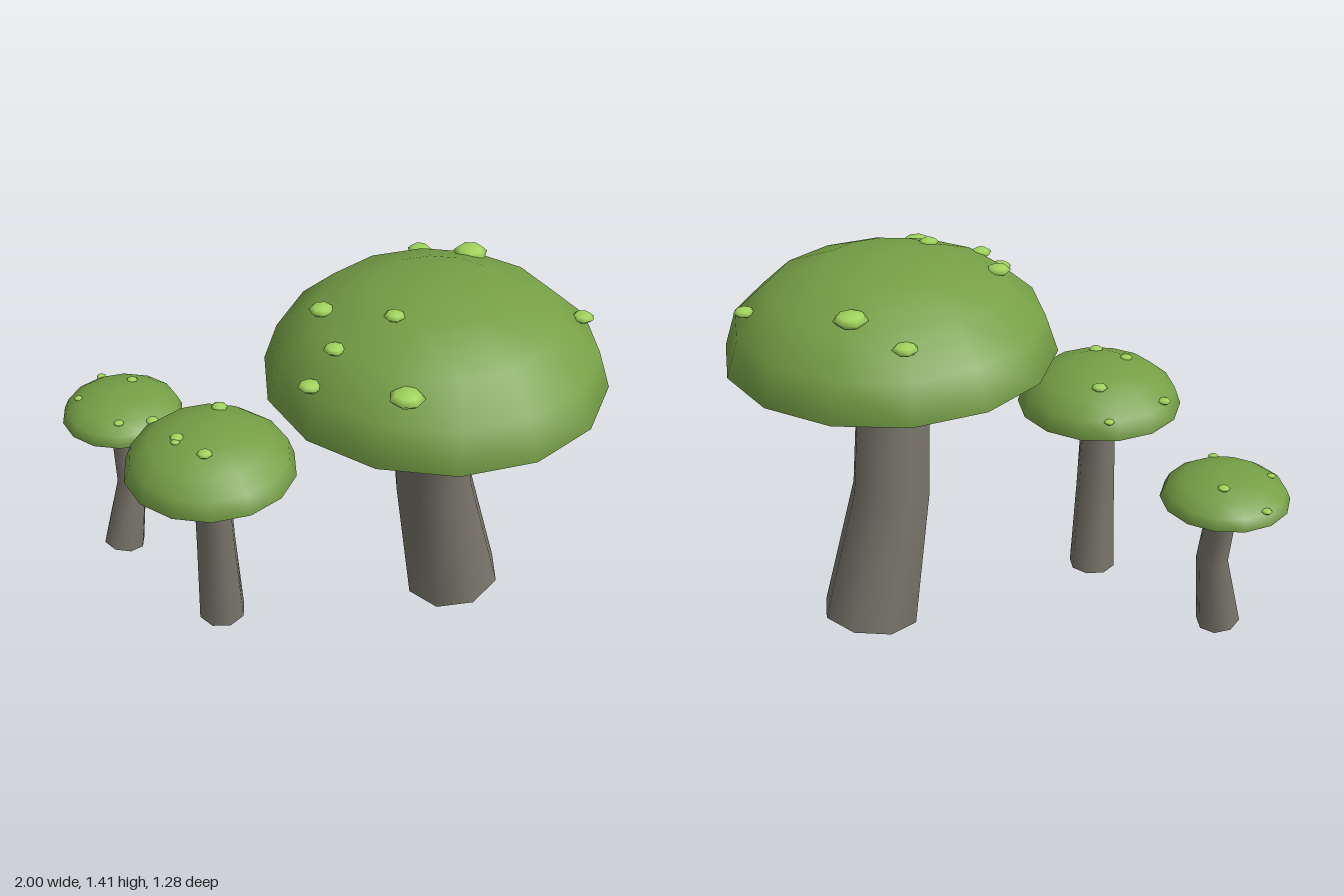
import * as THREE from 'three';
import { toCreasedNormals } from 'three/addons/utils/BufferGeometryUtils.js';

const SIDES = 14;

// Each stem ring, top to bottom: [x, y, z, radius, slope along x, slope along z]
// Each spot: [x, z, radius]
const MUSHROOMS = [
  {
    name: 'largeMushroom', cap: { x: 0.425, y: 1.068, z: -0.055, r: 0.587, h: 0.35 },
    stem: [[0.417, 1.06, -0.052, 0.134, 0, -0.14], [0.413, 0.55, -0.155, 0.145, 0.06, -0.15], [0.49, 0.037, -0.231, 0.179, 0.11, -0.15]],
    spots: [[0.225, -0.47, 0.044], [0.425, -0.42, 0.06], [0.865, -0.285, 0.038], [0.08, 0.115, 0.044],
      [0.345, 0.155, 0.036], [0.195, 0.295, 0.038], [0.15, 0.395, 0.04], [0.48, 0.415, 0.058]],
  },
  {
    name: 'mediumMushroom', cap: { x: -0.247, y: 0.744, z: 0.334, r: 0.304, h: 0.17 },
    stem: [[-0.247, 0.75, 0.337, 0.063, 0, -0.05], [-0.247, 0.4, 0.318, 0.073, 0, -0.05], [-0.247, 0.04, 0.295, 0.088, 0, -0.06]],
    spots: [[-0.34, 0.07, 0.02], [-0.28, 0.175, 0.03], [-0.505, 0.255, 0.025],
      [-0.33, 0.41, 0.025], [-0.325, 0.432, 0.018], [-0.205, 0.455, 0.028]],
  },
  {
    name: 'smallMushroom', cap: { x: -0.777, y: 0.613, z: -0.006, r: 0.229, h: 0.102 },
    stem: [[-0.778, 0.62, -0.003, 0.053, 0.08, 0.06], [-0.747, 0.33, 0.022, 0.058, 0, 0.1], [-0.782, 0.036, 0.062, 0.08, -0.12, 0.13]],
    spots: [[-0.935, -0.135, 0.02], [-0.78, -0.1, 0.022], [-0.925, 0.06, 0.017], [-0.71, 0.145, 0.02]],
  },
];

function addMesh(group, name, geometry, material) {
  const mesh = new THREE.Mesh(geometry, material);
  mesh.name = name;
  group.add(mesh);
  return mesh;
}

// Bent, tapering stem: a cylinder whose rings follow the given centres and slopes
function stemGeometry(rings) {
  const geo = new THREE.CylinderGeometry(1, 1, 2, 8, rings.length - 1);
  const pos = geo.attributes.position;
  for (let i = 0; i < pos.count; i++) {
    const x = pos.getX(i), z = pos.getZ(i);
    const [cx, cy, cz, r, sx, sz] = rings[Math.round(1 - pos.getY(i))];
    pos.setXYZ(i, cx + r * x, cy + r * (sx * x + sz * z), cz + r * z);
  }
  return toCreasedNormals(geo, 1.0);
}

export function createModel() {
  const capGreen = new THREE.MeshStandardMaterial({ color: 0x76a046 });
  capGreen.name = 'capGreen';
  const spotGreen = new THREE.MeshStandardMaterial({ color: 0xa0d45c });
  spotGreen.name = 'spotGreen';
  const stemGrey = new THREE.MeshStandardMaterial({ color: 0x78746a });
  stemGrey.name = 'stemGrey';

  const model = new THREE.Group();
  model.name = 'mushrooms';

  for (const { name, cap, stem, spots } of MUSHROOMS) {
    const group = new THREE.Group();
    group.name = name;
    model.add(group);

    addMesh(group, 'stem', stemGeometry(stem), stemGrey);

    // Domed cap with its flat underside
    const dome = new THREE.SphereGeometry(1, SIDES, 4, 0, Math.PI * 2, 0, Math.PI / 2);
    dome.rotateY(Math.PI / 2).scale(cap.r, cap.h, cap.r).translate(cap.x, cap.y, cap.z);
    addMesh(group, 'cap', dome, capGreen);

    const under = new THREE.CircleGeometry(cap.r, SIDES);
    under.rotateX(Math.PI / 2).rotateY(Math.PI / 2).translate(cap.x, cap.y, cap.z);
    addMesh(group, 'underside', under, stemGrey);

    // Flattened spots resting on the dome
    spots.forEach(([x, z, r], i) => {
      const d = Math.hypot(x - cap.x, z - cap.z) / cap.r;
      const y = cap.y + cap.h * Math.sqrt(Math.max(0, 1 - d * d));
      const blob = new THREE.SphereGeometry(1, 7, 4);
      blob.scale(r, r * 0.4, r).rotateY(i).translate(x, y, z);
      addMesh(group, 'spot', blob, spotGreen);
    });
  }
  return model;
}
